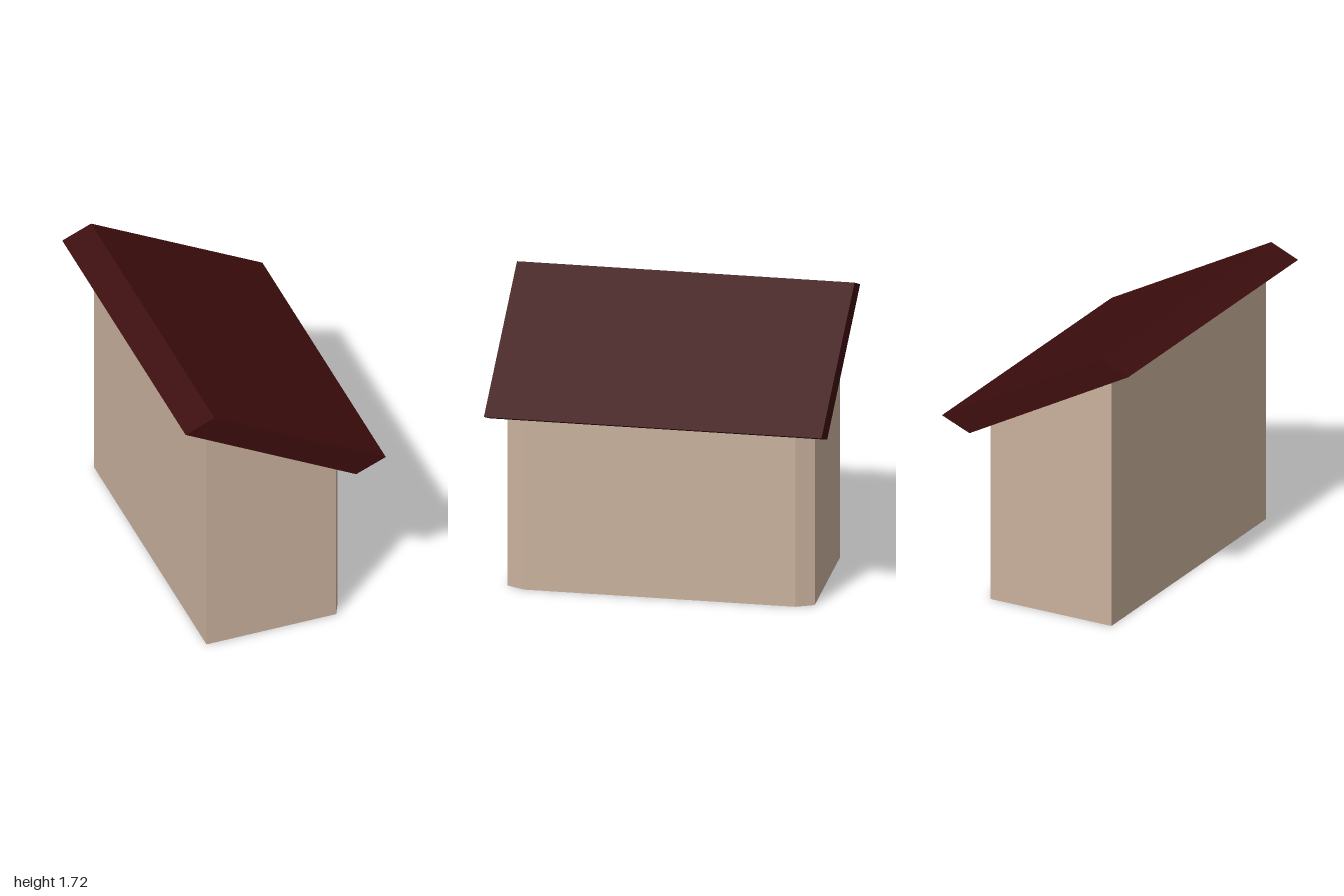
import * as THREE from 'three';

const polygon = (points) => new THREE.Shape(points.map(([x, y]) => new THREE.Vector2(x, y)));
const extrude = (points, depth) =>
  new THREE.ExtrudeGeometry(polygon(points), { depth, bevelEnabled: false });

export function createModel() {
  const plaster = new THREE.MeshStandardMaterial({ name: 'beige plaster', color: 0xcab19d });
  const maroon = new THREE.MeshStandardMaterial({ name: 'dark maroon roofing', color: 0x3d0d0d });

  // Roof slab: slanted parallelogram section running front to back
  const eave = [-0.625, 1.645];
  const lowEdge = [0.44, 1.065];
  const roofGeometry = extrude([eave, lowEdge, [0.625, 1.14], [-0.445, 1.72]], 2);
  roofGeometry.translate(0, 0, -1);
  const roof = new THREE.Mesh(roofGeometry, maroon);
  roof.name = 'roof';

  // Walls: plan with two cut corners on the low side, raised to the roof underside
  const plan = [[-0.46, -0.91], [0.35, -0.91], [0.4, -0.805], [0.4, 0.805], [0.35, 0.91], [-0.46, 0.91]];
  const wallGeometry = extrude(plan, 1);
  wallGeometry.rotateX(-Math.PI / 2);
  const slope = (lowEdge[1] - eave[1]) / (lowEdge[0] - eave[0]);
  const position = wallGeometry.attributes.position;
  for (let i = 0; i < position.count; i++) {
    if (position.getY(i) > 0.5) {
      position.setY(i, eave[1] + slope * (position.getX(i) - eave[0]));
    }
  }
  wallGeometry.computeVertexNormals();
  const walls = new THREE.Mesh(wallGeometry, plaster);
  walls.name = 'walls';

  const model = new THREE.Group();
  model.name = 'shed';
  model.add(walls, roof);
  return model;
}
